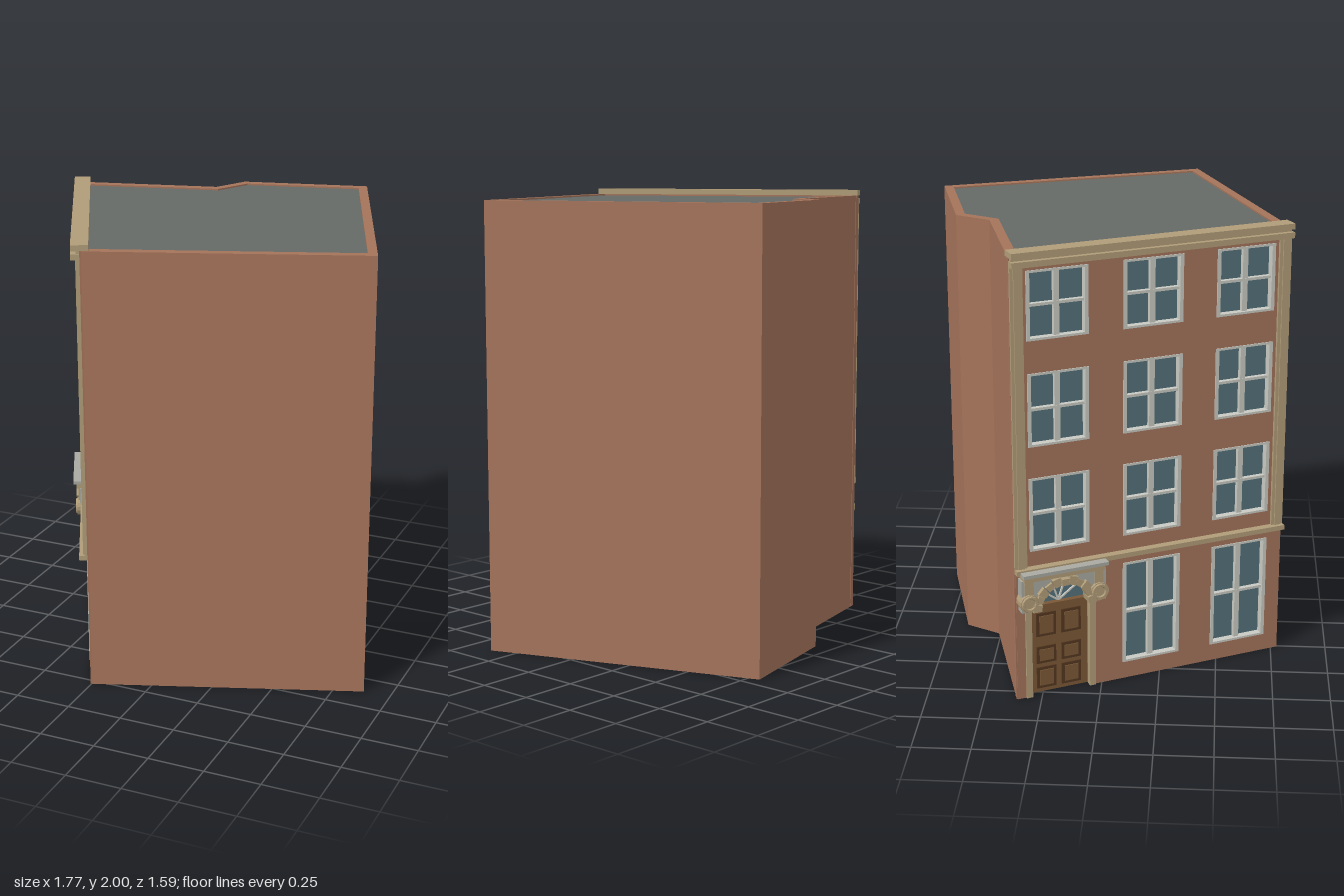
import * as THREE from 'three';

const mat = (color) => new THREE.MeshStandardMaterial({ color, flatShading: true });
const brick = mat(0xa4735a), stone = mat(0xb09c78), slate = mat(0x666a66), glass = mat(0x53707a),
  white = mat(0xc8c9c2), wood = mat(0x7a5836), darkWood = mat(0x54361f), grey = mat(0xa9a9a2);

function add(parent, name, geometry, material) {
  const mesh = new THREE.Mesh(geometry, material);
  mesh.name = name;
  parent.add(mesh);
  return mesh;
}

// Box given by its lower and upper corners
function box(parent, name, material, [x0, y0, z0], [x1, y1, z1]) {
  const mesh = add(parent, name, new THREE.BoxGeometry(x1 - x0, y1 - y0, z1 - z0), material);
  mesh.position.set((x0 + x1) / 2, (y0 + y1) / 2, (z0 + z1) / 2);
  return mesh;
}

// Plan outline (x, z) raised from y0 to y1
function raise(points, y0, y1) {
  const shape = new THREE.Shape(points.map(([x, z]) => new THREE.Vector2(x, z)));
  return new THREE.ExtrudeGeometry(shape, { depth: y1 - y0, bevelEnabled: false })
    .rotateX(Math.PI / 2).translate(0, y1, 0);
}

const LENGTH = 1.27, WALL = 0.035, GLASS = -0.028;
const BAY = [0.207, 0.635, 1.063], HALF = 0.136;
const FLOORS = [[0.08, 0.56], [0.69, 1.02], [1.16, 1.48], [1.62, 1.915]];
const SPRING = 0.43;

function rectPath(x0, y0, x1, y1) {
  return new THREE.Path([[x0, y0], [x1, y0], [x1, y1], [x0, y1]].map((p) => new THREE.Vector2(...p)));
}

// Sash window: glass, outer frame, centre mullion and meeting rail
function addWindow(parent, cx, y0, y1) {
  const g = new THREE.Group();
  g.name = 'window';
  parent.add(g);
  const x0 = cx - HALF, x1 = cx + HALF, mid = (y0 + y1) / 2, t = 0.016;
  box(g, 'windowGlass', glass, [x0, y0, GLASS - 0.004], [x1, y1, GLASS]);
  for (const x of [x0, x1 - t]) box(g, 'windowStile', white, [x, y0, GLASS], [x + t, y1, 0.004]);
  for (const y of [y0, y1 - 0.01]) box(g, 'windowRail', white, [x0, y, GLASS], [x1, y + 0.01, 0.004]);
  box(g, 'mullion', white, [cx - 0.012, y0, GLASS], [cx + 0.012, y1, -0.008]);
  box(g, 'meetingRail', white, [x0, mid - 0.006, GLASS], [x1, mid + 0.006, -0.006]);
}

// Panelled door with arched fanlight, stone arch, scrolls and canopy
function addEntrance(parent) {
  const g = new THREE.Group();
  g.name = 'entrance';
  parent.add(g);
  const cx = BAY[0], x0 = cx - HALF, x1 = cx + HALF;
  box(g, 'door', wood, [x0, 0, GLASS - 0.006], [x1, SPRING, GLASS]);
  for (const s of [-1, 1]) {
    for (const [y0, y1] of [[0.02, 0.12], [0.14, 0.22], [0.27, 0.38]]) {
      const c = cx + s * 0.058;
      box(g, 'doorPanelRim', darkWood, [c - 0.045, y0, GLASS], [c + 0.045, y1, GLASS + 0.006]);
      box(g, 'doorPanel', wood, [c - 0.032, y0 + 0.013, GLASS], [c + 0.032, y1 - 0.013, GLASS + 0.01]);
    }
    const jamb = cx + s * (HALF + 0.012);
    box(g, 'doorJamb', stone, [jamb - 0.014, 0, -0.02], [jamb + 0.014, SPRING, 0.008]);
  }
  box(g, 'transom', wood, [x0, SPRING - 0.02, GLASS], [x1, SPRING, -0.004]);

  // Fanlight with radiating bars
  const fan = add(g, 'fanlight', new THREE.CircleGeometry(HALF, 24, 0, Math.PI), glass);
  fan.position.set(cx, SPRING, GLASS);
  fan.material = glass.clone();
  fan.material.side = THREE.DoubleSide;
  for (let i = 1; i < 5; i++) {
    const bar = add(g, 'fanlightBar', new THREE.BoxGeometry(HALF, 0.007, 0.008).translate(HALF / 2, 0, 0), white);
    bar.position.set(cx, SPRING, GLASS + 0.004);
    bar.rotation.z = i * Math.PI / 5;
  }

  // Grey block around the arch
  const shape = new THREE.Shape();
  shape.moveTo(0.015, SPRING);
  shape.lineTo(x0, SPRING);
  shape.absarc(cx, SPRING, HALF, Math.PI, 0, true);
  shape.lineTo(0.4, SPRING);
  shape.lineTo(0.4, 0.578);
  shape.lineTo(0.015, 0.578);
  add(g, 'archBlock', new THREE.ExtrudeGeometry(shape, { depth: 0.045, bevelEnabled: false, curveSegments: 16 }), grey);

  // Arch stones, alternately long and short
  const n = 11, step = Math.PI / n;
  for (let i = 0; i < n; i++) {
    const a = i * step + 0.015, b = (i + 1) * step - 0.015, r0 = 0.108, r1 = i % 2 ? 0.138 : 0.147;
    const s = new THREE.Shape([[r0, a], [r1, a], [r1, b], [r0, b]]
      .map(([r, t]) => new THREE.Vector2(r * Math.cos(t), r * Math.sin(t))));
    const depth = i === 5 ? 0.07 : i % 2 ? 0.058 : 0.064;
    add(g, 'archStone', new THREE.ExtrudeGeometry(s, { depth, bevelEnabled: false }), stone).position.set(cx, SPRING, 0);
  }

  // Scroll brackets at both springings
  for (const s of [-1, 1]) {
    const x = cx + s * 0.16;
    const scroll = add(g, 'scroll', new THREE.CylinderGeometry(0.042, 0.042, 0.058, 14).rotateX(Math.PI / 2), stone);
    scroll.position.set(x, 0.475, 0.03);
    add(g, 'scrollRim', new THREE.TorusGeometry(0.03, 0.009, 6, 14), stone).position.set(x, 0.475, 0.058);
    box(g, 'scrollNeck', stone, [x - 0.02, 0.5, 0], [x + 0.02, 0.578, 0.052]);
  }
  box(g, 'canopyMoulding', stone, [0.022, 0.575, 0], [0.393, 0.6, 0.06]);
  box(g, 'canopy', grey, [0.015, 0.6, 0], [0.402, 0.615, 0.075]);
}

export function createModel() {
  const model = new THREE.Group();
  model.name = 'townhouse';

  // Side and back walls, a ring left open along the facade
  const outer = [[-0.825, -0.357], [-0.205, -0.51], [-0.125, -0.665], [0.435, -0.8], [0.88, 0.365], [-0.25, 0.779]];
  const inner = [[-0.806, -0.319], [-0.18, -0.473], [-0.098, -0.63], [0.41, -0.752], [0.828, 0.341], [-0.274, 0.744]];
  const ends = outer.map((p) => [...p]);
  ends[0] = [-0.822, -0.3575];
  ends[5] = [-0.247, 0.778];
  const innerEnds = inner.map((p) => [...p]);
  innerEnds[0] = [-0.802, -0.32];
  innerEnds[5] = [-0.27, 0.7425];
  add(model, 'walls', raise([...ends, ...innerEnds.reverse()], 0, 1.975), brick);
  add(model, 'roof', raise(inner, 1.955, 1.968), slate);

  // Facade in its own frame: x along the wall, z outward
  const facade = new THREE.Group();
  facade.name = 'facade';
  facade.position.set(-0.825, 0, -0.357);
  facade.rotation.y = -Math.atan2(1.135, 0.57);
  model.add(facade);

  const wall = new THREE.Shape();
  const dx0 = BAY[0] - HALF, dx1 = BAY[0] + HALF;
  wall.moveTo(0.006, 0);
  wall.lineTo(dx0, 0);
  wall.lineTo(dx0, SPRING);
  wall.absarc(BAY[0], SPRING, HALF, Math.PI, 0, true);
  wall.lineTo(dx1, 0);
  wall.lineTo(LENGTH, 0);
  wall.lineTo(LENGTH, 1.975);
  wall.lineTo(0.006, 1.975);
  FLOORS.forEach(([y0, y1], floor) => BAY.forEach((cx, bay) => {
    if (floor === 0 && bay === 0) return;
    wall.holes.push(rectPath(cx - HALF, y0, cx + HALF, y1));
    addWindow(facade, cx, y0, y1);
  }));
  add(facade, 'frontWall', new THREE.ExtrudeGeometry(wall, { depth: WALL, bevelEnabled: false, curveSegments: 16 })
    .translate(0, 0, -WALL), brick);

  // Stone trim
  box(facade, 'parapetCap', stone, [0, 1.975, -0.037], [LENGTH, 2, 0.037]);
  box(facade, 'cornice', stone, [0, 1.937, 0], [LENGTH, 1.962, 0.037]);
  box(facade, 'corniceFillet', stone, [0.005, 1.962, 0], [LENGTH - 0.005, 1.975, 0.015]);
  box(facade, 'stringCourse', stone, [0, 0.6, 0], [LENGTH, 0.622, 0.035]);
  for (const x of [0, LENGTH - 0.055]) {
    box(facade, 'cornerStrip', stone, [x, 0.622, 0], [x + 0.055, 1.937, 0.012]);
    box(facade, 'cornerStripFace', stone, [x + 0.014, 0.622, 0.012], [x + 0.041, 1.937, 0.018]);
  }

  addEntrance(facade);
  return model;
}
